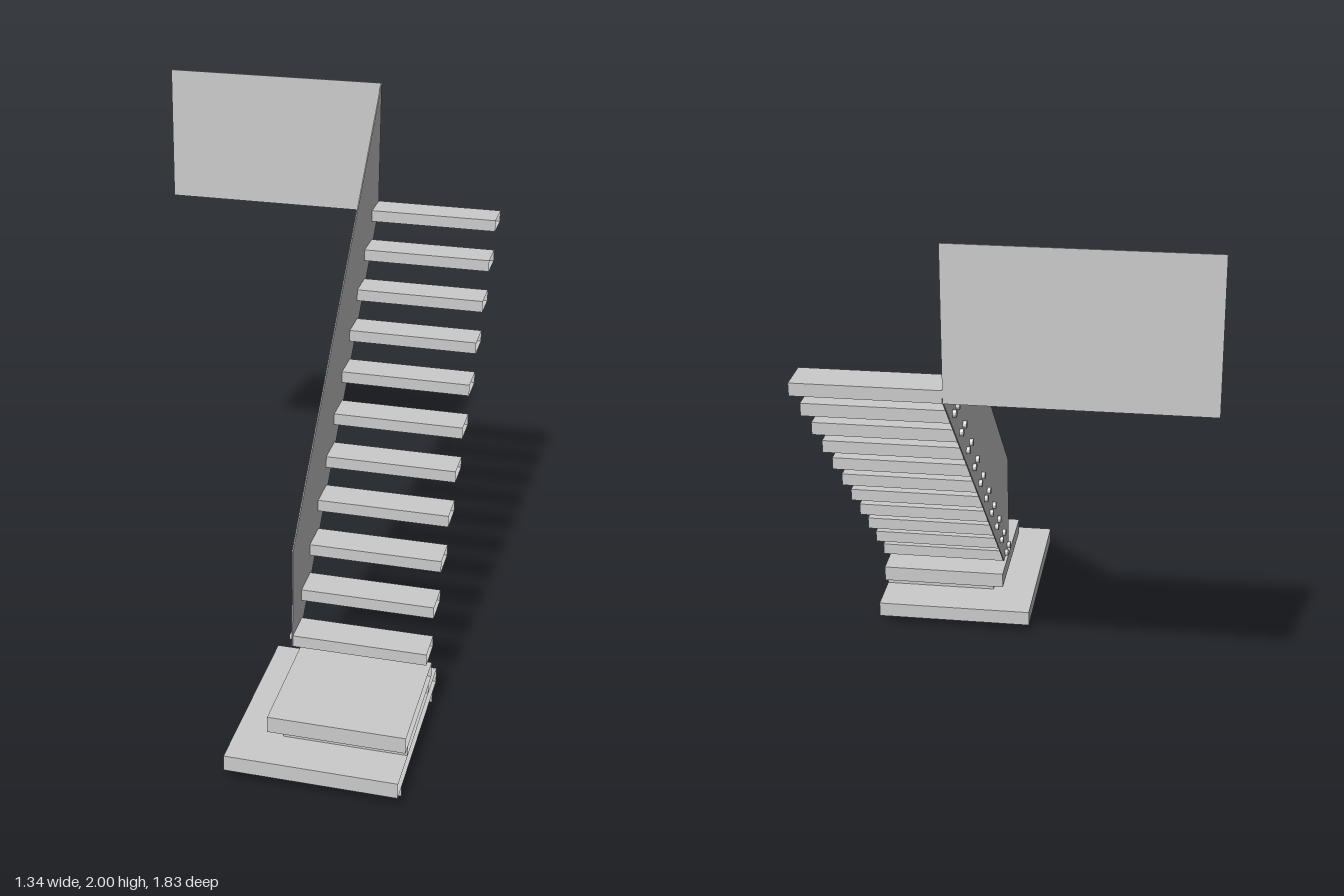
import * as THREE from 'three';

const grey = new THREE.MeshStandardMaterial({ color: 0xcccccc, flatShading: true, side: THREE.DoubleSide });
const WALL_X = 0.672; // treads and slabs end open against the wall on this side

// Hollow block from x0 to the wall: no wall-side face, and no floor unless asked for
function wallBlock(name, x0, y0, y1, z0, z1, floor) {
  const geo = new THREE.BoxGeometry(WALL_X - x0, y1 - y0, z1 - z0);
  const index = Array.from(geo.index.array);
  if (!floor) index.splice(18, 6); // the -y face
  index.splice(0, 6); // the +x face
  geo.setIndex(index);
  geo.clearGroups();
  const mesh = new THREE.Mesh(geo, grey);
  mesh.name = name;
  mesh.position.set((x0 + WALL_X) / 2, (y0 + y1) / 2, (z0 + z1) / 2);
  return mesh;
}

function outline(points) {
  return new THREE.Shape(points.map(([x, y]) => new THREE.Vector2(x, y)));
}

// U-shaped underside of a slab that overhangs the plinth below it
function overhang(y, [x0, z0, z1], [px, p0, p1]) {
  const geo = new THREE.ShapeGeometry(outline([
    [WALL_X, z0], [x0, z0], [x0, z1], [WALL_X, z1],
    [WALL_X, p1], [px, p1], [px, p0], [WALL_X, p0],
  ]));
  const mesh = new THREE.Mesh(geo.rotateX(Math.PI / 2), grey);
  mesh.name = 'overhang';
  mesh.position.y = y;
  return mesh;
}

// Thin pane from a 2D outline
function pane(name, points) {
  const geo = new THREE.ExtrudeGeometry(outline(points), { depth: 0.004, bevelEnabled: false });
  const mesh = new THREE.Mesh(geo, grey);
  mesh.name = name;
  return mesh;
}

export function createModel() {
  const model = new THREE.Group();
  model.name = 'staircase';

  // Starting platform: two slabs, each on a recessed plinth
  model.add(
    wallBlock('lowerPlinth', 0.128, 0, 0.042, 0.265, 0.845, false),
    wallBlock('lowerPlatform', 0.065, 0.042, 0.1, 0.19, 0.915, false),
    overhang(0.042, [0.065, 0.19, 0.915], [0.128, 0.265, 0.845]),
    wallBlock('upperPlinth', 0.233, 0.1, 0.14, 0.36, 0.75, false),
    wallBlock('upperPlatform', 0.187, 0.14, 0.2, 0.31, 0.795, false),
    overhang(0.14, [0.187, 0.31, 0.795], [0.233, 0.36, 0.75]),
  );

  // Floating treads, each fixed through the side pane by two bolts
  const boltGeo = new THREE.CylinderGeometry(0.013, 0.013, 0.021, 12).rotateZ(Math.PI / 2);
  const count = 11, rise = 0.1215, run = 0.1219;
  for (let i = 0; i < count; i++) {
    const y = 0.265 + i * rise, z = 0.435 - i * run;
    model.add(wallBlock('tread', 0.185, y, y + 0.044, z - 0.13, z, true));
    for (const dz of [-0.032, 0.032]) {
      const bolt = new THREE.Mesh(boltGeo, grey);
      bolt.name = 'bolt';
      bolt.position.set(0.178, y + 0.022, z - 0.065 + dz);
      model.add(bolt);
    }
  }

  // Sloping side balustrade, outline in (-z, y)
  const side = pane('sideBalustrade', [[-0.435, 0.265], [-0.305, 0.265], [0.915, 1.48], [0.915, 2], [-0.435, 0.655]]);
  side.rotation.y = Math.PI / 2;
  side.position.x = 0.18;
  model.add(side);

  // Landing balustrade across the top
  const landing = pane('landingBalustrade', [[-0.672, 1.48], [0.18, 1.48], [0.18, 2], [-0.672, 2]]);
  landing.position.z = -0.915;
  model.add(landing);

  return model;
}
